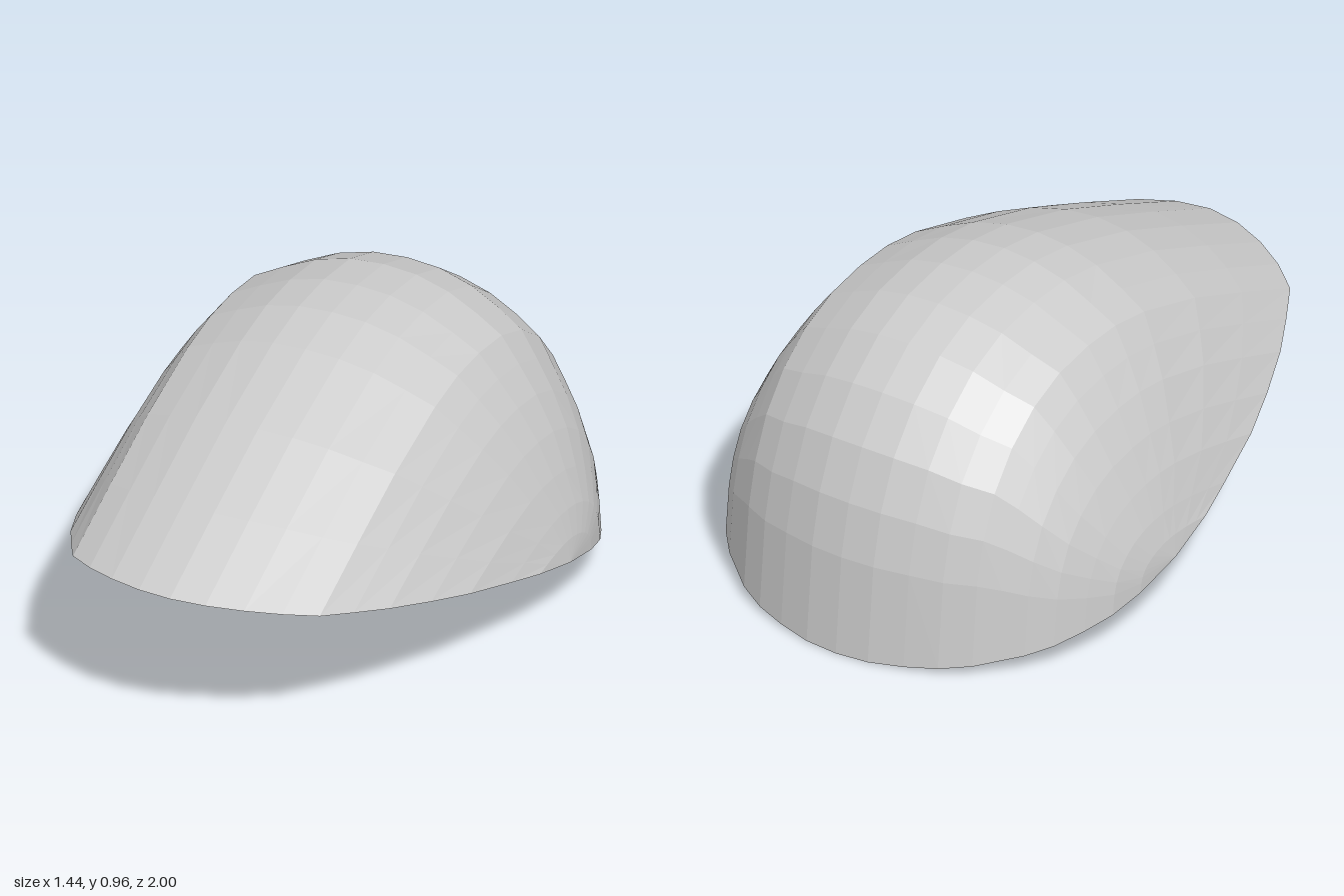
import * as THREE from 'three';

// Centre-line profile: [position along chord from back (0) to front (1), height above the rim]
const PROFILE = [
  [1, 0], [0.85, 0.222], [0.7, 0.437], [0.54, 0.633], [0.45, 0.717], [0.365, 0.768],
  [0.275, 0.796], [0.195, 0.78], [0.125, 0.717], [0.07, 0.612], [0.035, 0.471],
  [0.015, 0.312], [0, 0],
];

// Lengthwise slices of one half: [x, front z, back z, peak y]
const SLICES = [
  [0, 1, -1, 0.965], [0.11, 0.985, -0.992, 0.957], [0.22, 0.945, -0.965, 0.93],
  [0.32, 0.89, -0.93, 0.885], [0.41, 0.82, -0.88, 0.84], [0.47, 0.71, -0.83, 0.76],
  [0.53, 0.59, -0.78, 0.67], [0.59, 0.43, -0.71, 0.56], [0.64, 0.27, -0.62, 0.45],
  [0.68, 0.07, -0.53, 0.345], [0.705, -0.07, -0.42, 0.265], [0.718, -0.25, -0.25, 0.2025],
];

// The opening lies in one sloping plane
const rimY = (z) => 0.27 * (z + 1);

function shellGeometry() {
  const mirrored = SLICES.slice(1).reverse().map(([x, ...rest]) => [-x, ...rest]);
  const slices = [...mirrored, ...SLICES];
  const n = PROFILE.length;
  const positions = [];
  const index = [];

  // Each slice is the centre profile fitted to its own chord and height
  for (const [x, front, back, peak] of slices) {
    const peakZ = back + 0.365 * (front - back);
    const scale = (peak - rimY(peakZ)) / 0.768;
    for (const [t, h] of PROFILE) {
      const z = back + t * (front - back);
      positions.push(x, rimY(z) + h * Math.max(scale, 0), z);
    }
  }

  // Skin neighbouring slices; the outermost ones shrink to a point
  for (let i = 0; i < slices.length - 1; i++) {
    for (let j = 0; j < n - 1; j++) {
      const a = i * n + j, b = a + n, c = a + 1, d = b + 1;
      if (i === 0) index.push(a, b, d);
      else if (i === slices.length - 2) index.push(a, b, c);
      else if (i < slices.length / 2 - 1) index.push(a, b, c, b, d, c);
      else index.push(a, b, d, a, d, c);
    }
  }

  const geometry = new THREE.BufferGeometry();
  geometry.setAttribute('position', new THREE.Float32BufferAttribute(positions, 3));
  geometry.setIndex(index);
  geometry.computeVertexNormals();
  return geometry;
}

export function createModel() {
  const group = new THREE.Group();
  group.name = 'openShell';

  // Thin domed shell, open underneath
  const material = new THREE.MeshStandardMaterial({
    color: 0xcccccc, flatShading: true, side: THREE.DoubleSide,
  });
  const shell = new THREE.Mesh(shellGeometry(), material);
  shell.name = 'domeShell';
  group.add(shell);
  return group;
}
